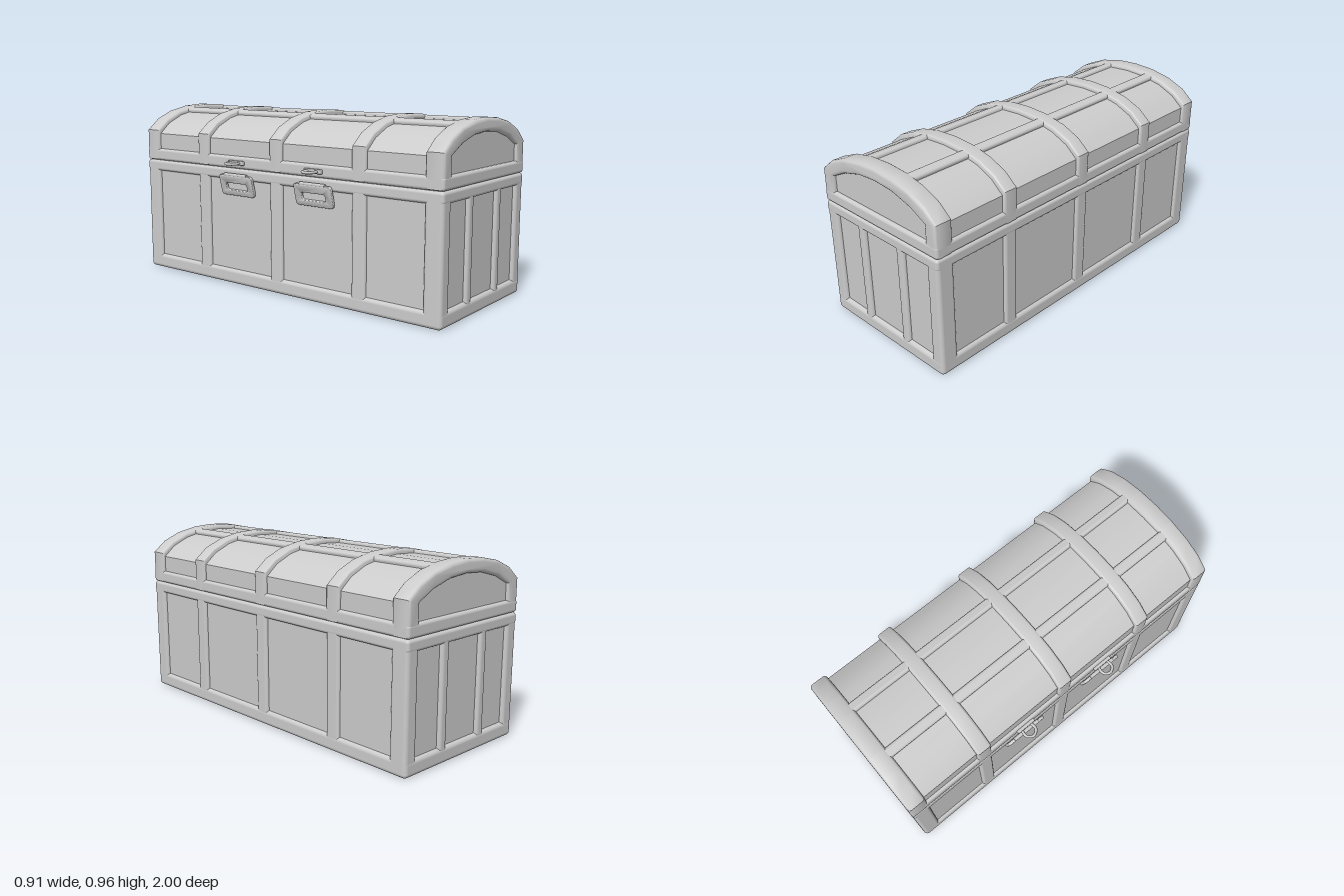
import * as THREE from 'three';
import { toCreasedNormals } from 'three/addons/utils/BufferGeometryUtils.js';
import { RoundedBoxGeometry } from 'three/addons/geometries/RoundedBoxGeometry.js';

const CX = 0.038;   // chest centre in x; the latches stick out on -x
const HW = 0.4135;  // half width over the bands
const mat = new THREE.MeshStandardMaterial({ color: 0xcccccc });

function add(parent, name, geo, x = 0, y = 0, z = 0) {
  const m = new THREE.Mesh(geo, mat);
  m.name = name;
  m.position.set(x, y, z);
  parent.add(m);
  return m;
}

// Rounded bar given by its bounds
function bar(parent, name, x0, x1, y0, y1, z0, z1, r = 0.02) {
  const g = new RoundedBoxGeometry(x1 - x0, y1 - y0, z1 - z0, 4, r);
  return add(parent, name, g, (x0 + x1) / 2, (y0 + y1) / 2, (z0 + z1) / 2);
}

// Closed outline: straight sides under a faceted arch; half lists [x, y] from edge to crown
function archPoints(half, bottom) {
  const right = half.map(([x, y]) => new THREE.Vector2(x, y));
  const left = half.slice(0, -1).reverse().map(([x, y]) => new THREE.Vector2(-x, y));
  return [new THREE.Vector2(half[0][0], bottom), ...right, ...left,
    new THREE.Vector2(-half[0][0], bottom)];
}

// Extrusion centred on z with rounded edges that stay inside the outline
function extrude(shape, depth, bevel) {
  const g = new THREE.ExtrudeGeometry(shape, {
    depth: depth - 2 * bevel, bevelEnabled: bevel > 0, bevelThickness: bevel,
    bevelSize: bevel, bevelOffset: -bevel, bevelSegments: 4, curveSegments: 8,
  });
  g.translate(0, 0, -(depth - 2 * bevel) / 2);
  return toCreasedNormals(g, 0.6);
}

const outerArch = [[HW, 0.825], [0.34, 0.885], [0.24, 0.928], [0.12, 0.953], [0, 0.96]];
const coreArch = [[0.397, 0.805], [0.33, 0.862], [0.235, 0.905], [0.12, 0.93], [0, 0.937]];
const holeArch = [[0.335, 0.803], [0.24, 0.85], [0.12, 0.883], [0, 0.892]];

function buildChest() {
  const chest = new THREE.Group();
  chest.name = 'chest';
  chest.position.x = CX;

  // Recessed panels of body and lid are one solid
  add(chest, 'panels', extrude(new THREE.Shape(archPoints(coreArch, 0.014)), 1.96, 0));

  // Body rails and corner posts
  for (const s of [-1, 1]) {
    const side = (name, y0, y1, d, r) => {
      const a = s * HW, b = s * (HW - d);
      bar(chest, name, Math.min(a, b), Math.max(a, b), y0, y1, -1, 1, r);
    };
    const end = (name, y0, y1, d, r) => {
      const a = s, b = s * (1 - d);
      bar(chest, name, -HW, HW, y0, y1, Math.min(a, b), Math.max(a, b), r);
    };
    for (const rail of [side, end]) {
      rail('bottomRail', 0.003, 0.086, 0.055, 0.022);
      rail('bodyTopRail', 0.588, 0.649, 0.055, 0.016);
      rail('lidRail', 0.65, 0.717, 0.055, 0.016);
    }
    for (const t of [-1, 1]) {
      const x = s * (HW - 0.039), z = t * 0.949;
      bar(chest, 'cornerPost', x - 0.039, x + 0.039, 0.02, 0.645, z - 0.05, z + 0.05);
    }
    // Upright straps on the long sides and on the ends
    for (const z of [-0.529, 0.0025, 0.532]) {
      const x = s * (HW - 0.025);
      bar(chest, 'sideStrap', x - 0.024, x + 0.024, 0.05, 0.63, z - 0.0425, z + 0.0425, 0.018);
    }
    for (const x of [-0.144, 0.144]) {
      bar(chest, 'endStrap', x - 0.027, x + 0.027, 0.05, 0.62, s * 0.974 - 0.025, s * 0.974 + 0.025, 0.018);
    }
    // Lengthwise straps over the lid, tilted to follow the arch
    const strap = bar(chest, 'lidStrap', -0.028, 0.028, -0.02, 0.02, -0.96, 0.96, 0.014);
    strap.position.set(s * 0.145, 0.925, 0);
    strap.rotation.z = -s * 0.2;

    // Arched end frames of the lid
    const frame = new THREE.Shape(archPoints(outerArch, 0.655));
    frame.holes.push(new THREE.Path(archPoints(holeArch, 0.717).reverse()));
    add(chest, 'lidEndFrame', extrude(frame, 0.1, 0.018), 0, 0, s * 0.949);
  }

  // Arched straps across the lid
  const hoop = extrude(new THREE.Shape(archPoints(outerArch, 0.655)), 0.085, 0.014);
  for (const z of [-0.529, 0.0025, 0.532]) add(chest, 'lidHoop', hoop, 0, 0, z);
  return chest;
}

function roundedRect(Type, w, y0, y1, r) {
  const p = new Type();
  p.moveTo(-w + r, y0).lineTo(w - r, y0).quadraticCurveTo(w, y0, w, y0 + r);
  p.lineTo(w, y1 - r).quadraticCurveTo(w, y1, w - r, y1);
  p.lineTo(-w + r, y1).quadraticCurveTo(-w, y1, -w, y1 - r);
  p.lineTo(-w, y0 + r).quadraticCurveTo(-w, y0, -w + r, y0);
  return p;
}

function buildLatch(z) {
  const latch = new THREE.Group();
  latch.name = 'latch';
  latch.position.z = z;

  // Slotted hasp hanging open from its hinge pin
  const plate = roundedRect(THREE.Shape, 0.12, -0.117, 0, 0.02);
  plate.holes.push(roundedRect(THREE.Path, 0.075, -0.085, -0.045, 0.012));
  const hasp = add(latch, 'hasp', extrude(plate, 0.018, 0.005), -0.389, 0.615, 0);
  hasp.rotation.set(0, -Math.PI / 2, 0.0);
  hasp.rotateX(0.25);
  const pin = add(latch, 'hingePin', new THREE.CylinderGeometry(0.01, 0.01, 0.16, 12), -0.387, 0.615, 0);
  pin.rotation.x = Math.PI / 2;

  // Staple on the lid: a backing plate and a U-shaped loop
  bar(latch, 'staplePlate', -0.391, -0.37, 0.671, 0.695, -0.055, 0.055, 0.005);
  const loop = new THREE.CatmullRomCurve3([[-0.375, -0.022], [-0.40, -0.032], [-0.428, -0.03],
    [-0.447, 0], [-0.428, 0.03], [-0.40, 0.032], [-0.375, 0.022]]
    .map(([x, w]) => new THREE.Vector3(x, 0.683, w)));
  add(latch, 'staple', new THREE.TubeGeometry(loop, 32, 0.008, 8));
  return latch;
}

export function createModel() {
  const model = new THREE.Group();
  model.name = 'treasureChest';
  model.add(buildChest());
  for (const z of [-0.27, 0.26]) model.add(buildLatch(z));
  return model;
}
